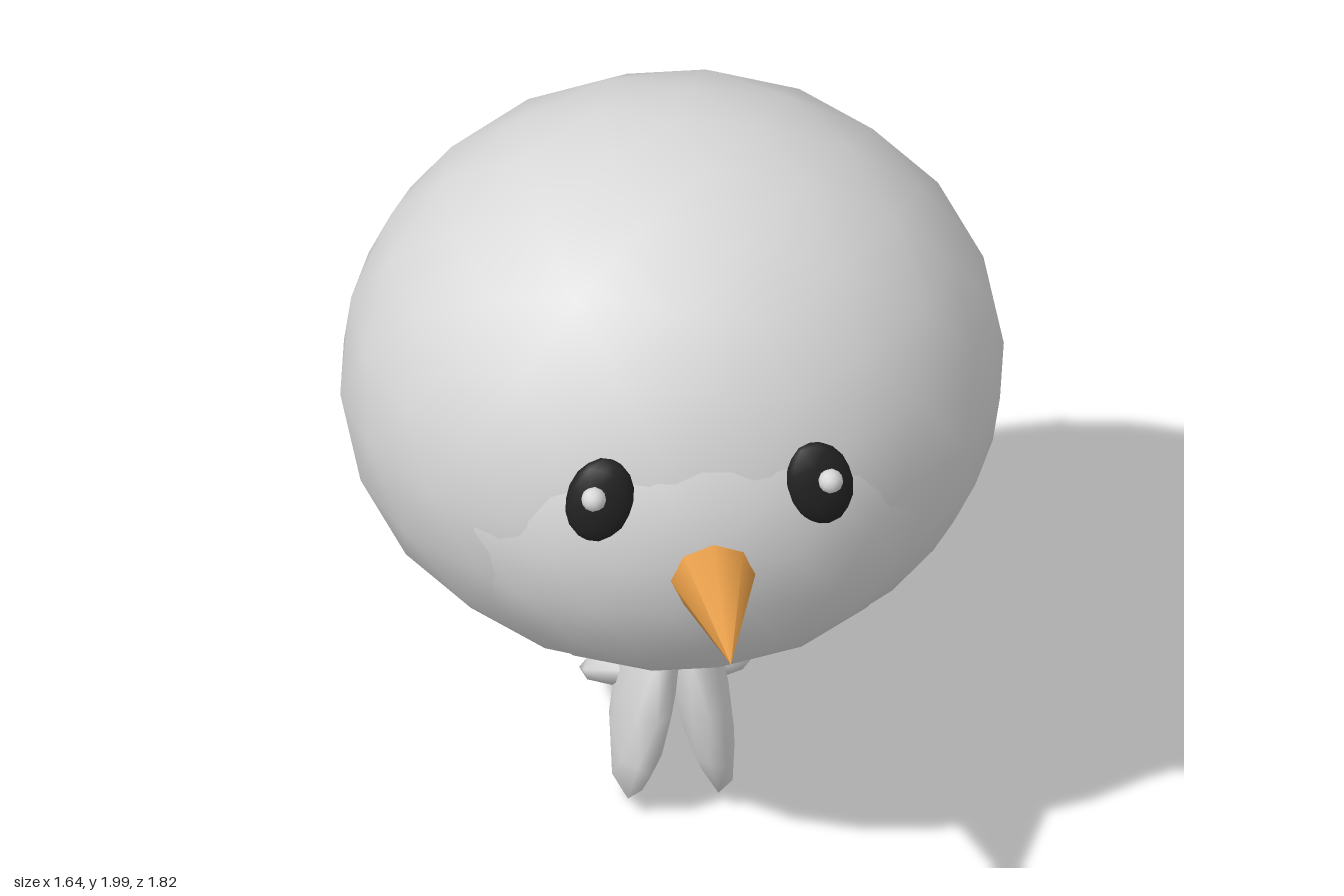
import * as THREE from 'three';

const material = (name, color) => {
  const m = new THREE.MeshStandardMaterial({ color });
  m.name = name;
  return m;
};

export function createModel() {
  const group = new THREE.Group();
  const plumage = material('paleGrey', 0xd8d8d8);
  const black = material('black', 0x222222);
  const orange = material('orange', 0xe29a45);

  // Smooth icosphere with its pole on y, stretched to an ellipsoid
  const blob = (name, mat, detail, radii, position, rotation = [0, 0, 0]) => {
    const geometry = new THREE.IcosahedronGeometry(1, detail);
    geometry.rotateZ(-Math.atan(2 / (1 + Math.sqrt(5))));
    const mesh = new THREE.Mesh(geometry, mat);
    mesh.name = name;
    mesh.scale.set(...radii);
    mesh.position.set(...position);
    mesh.rotation.set(...rotation);
    group.add(mesh);
    return mesh;
  };

  // Big round head and the slightly raised face
  blob('head', plumage, 3, [0.82, 0.735, 0.74], [0, 1.265, -0.17]);
  blob('face', plumage, 3, [0.69, 0.59, 0.6], [0, 1.2, 0]);

  // Eyes, glints and the two halves of the body
  for (const [side, s] of [['left', 1], ['right', -1]]) {
    blob(side + 'Eye', black, 2, [0.083, 0.115, 0.042], [s * 0.272, 1.38, 0.522], [-0.14, s * 0.15, s * 0.25]);
    blob(side + 'EyeGlint', plumage, 1, [0.031, 0.031, 0.031], [s * 0.293, 1.415, 0.568]);
    blob(side + 'Body', plumage, 1, [0.07, 0.345, 0.21], [s * 0.065, 0.35, -0.17], [0, 0, s * 0.16]);
  }

  // Flat tail, sloping down to the back
  blob('tail', plumage, 1, [0.22, 0.062, 0.15], [0, 0.31, -0.28], [-0.52, 0, 0]);

  // Eight-sided beak, tip dipping a little
  const beakGeometry = new THREE.ConeGeometry(0.105, 0.33, 8);
  beakGeometry.rotateX(Math.PI / 2);
  const beak = new THREE.Mesh(beakGeometry, orange);
  beak.name = 'beak';
  beak.position.set(0, 1.147, 0.746);
  beak.rotation.x = 0.1;
  group.add(beak);

  return group;
}
